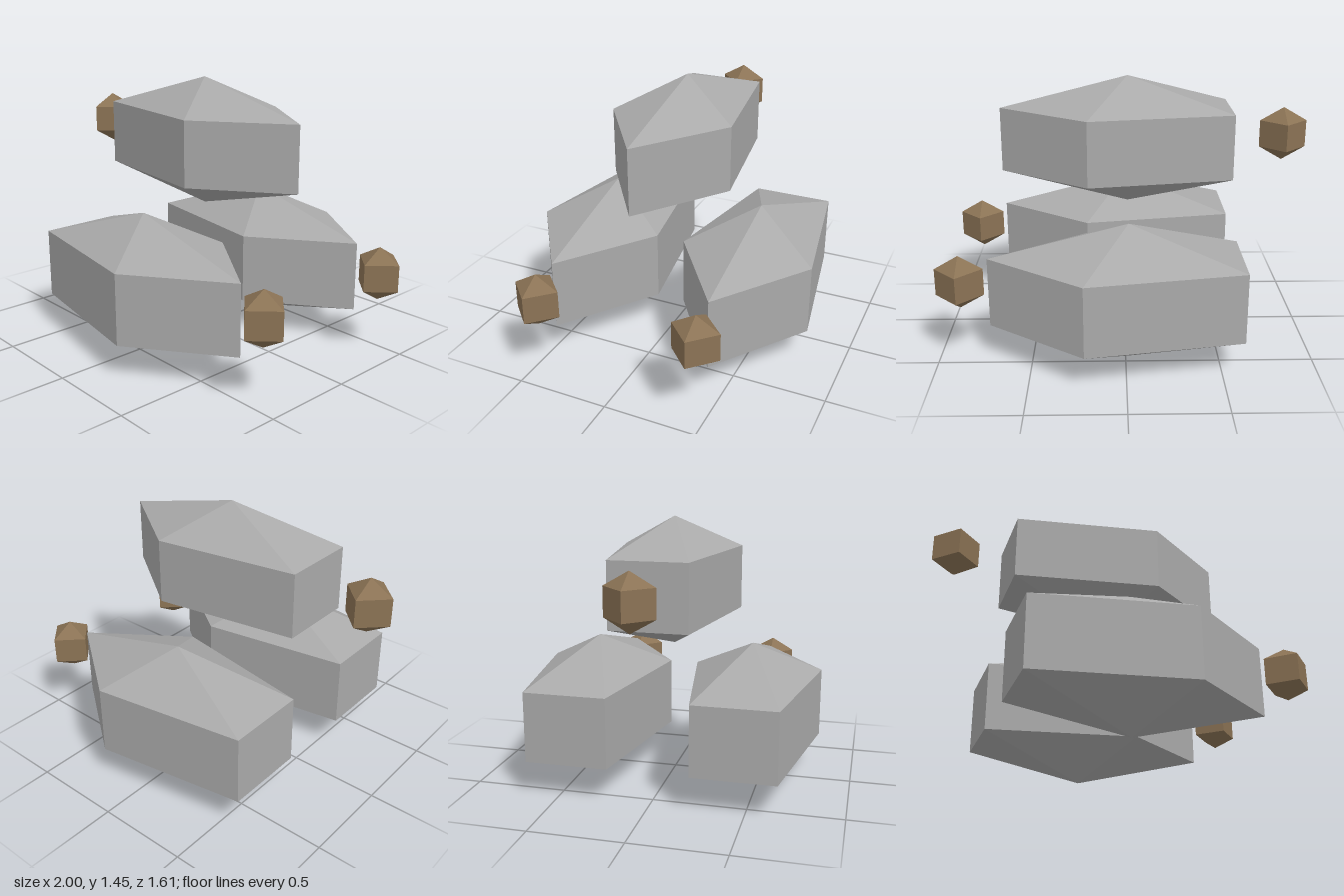
import * as THREE from 'three';

export function createModel() {
  const group = new THREE.Group();
  const stone = new THREE.MeshStandardMaterial({ color: 0xaaaaaa });
  stone.name = 'stoneGrey';
  const earth = new THREE.MeshStandardMaterial({ color: 0x8b7355 });
  earth.name = 'earthBrown';

  // Faceted lump: a coarse sphere with one corner pointing to +x
  function lump(name, material, sides, radii, position) {
    const geometry = new THREE.SphereGeometry(1, sides, 3, Math.PI)
      .scale(...radii)
      .toNonIndexed();
    geometry.computeVertexNormals(); // flat facets
    const mesh = new THREE.Mesh(geometry, material);
    mesh.name = name;
    mesh.position.set(...position);
    group.add(mesh);
  }

  // Two lower boulders, each with a pebble at its pointed end
  for (const [side, s] of [['front', 1], ['back', -1]]) {
    lump(side + 'Boulder', stone, 5, [0.852, 0.383, 0.441], [-0.015, 0.383, s * 0.443]);
    lump(side + 'Pebble', earth, 4, [0.147, 0.147, 0.147], [0.873, 0.446, s * 0.443]);
  }

  // Upper boulder resting between them, with its pebble at the blunt end
  lump('topBoulder', stone, 5, [0.801, 0.353, 0.41], [-0.018, 1.098, 0]);
  lump('topPebble', earth, 4, [0.147, 0.147, 0.147], [-0.873, 1.126, 0]);

  return group;
}
